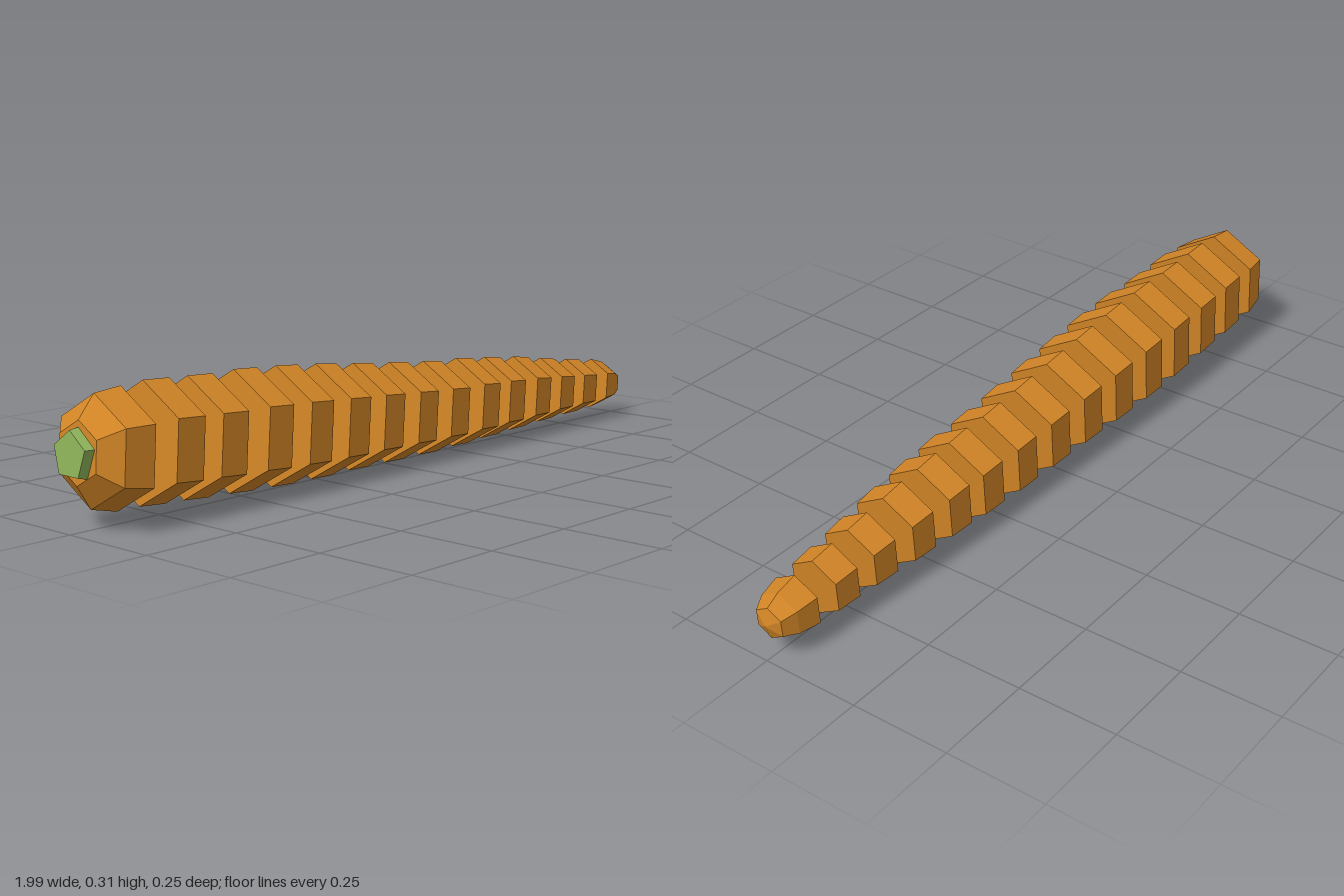
import * as THREE from 'three';

const TILT = -0.065;

// Solid faceted piece along x: profile is [offset along axis, radius], one corner pointing up
function piece(name, profile, sides, material, x, y) {
  const points = profile.map(([t, r]) => new THREE.Vector2(r, t));
  const geometry = new THREE.LatheGeometry(points, sides, -Math.PI / 2);
  geometry.rotateZ(-Math.PI / 2);
  const mesh = new THREE.Mesh(geometry, material);
  mesh.name = name;
  mesh.position.set(x, y, 0);
  mesh.rotation.z = TILT;
  return mesh;
}

export function createModel() {
  const group = new THREE.Group();
  group.name = 'slicedCarrot';
  const orange = new THREE.MeshStandardMaterial({ color: 0xd28526, flatShading: true });
  orange.name = 'carrot orange';
  const green = new THREE.MeshStandardMaterial({ color: 0x8fb35a, flatShading: true });
  green.name = 'stem green';

  // Slice centres and radii: x, y, radius (first and last rows belong to the end pieces)
  const rows = [
    [-0.86, 0.166, 0.139],
    [-0.76, 0.166, 0.142], [-0.63, 0.159, 0.143], [-0.49, 0.154, 0.146],
    [-0.355, 0.147, 0.145], [-0.22, 0.14, 0.14], [-0.088, 0.134, 0.133],
    [0.046, 0.127, 0.127], [0.178, 0.121, 0.121], [0.31, 0.119, 0.116],
    [0.43, 0.116, 0.108], [0.556, 0.112, 0.099], [0.68, 0.106, 0.087],
    [0.80, 0.1, 0.077],
    [0.89, 0.096, 0.071],
  ];
  for (let i = 1; i < rows.length - 1; i++) {
    const [x, y, r] = rows[i];
    const [xa, , ra] = rows[i - 1];
    const [xb, , rb] = rows[i + 1];
    const half = 0.0388 - 0.0004 * i;
    const d = ((rb - ra) / (xb - xa)) * half;
    group.add(piece('slice' + i, [[-half, 0], [-half, r - d], [half, r + d], [half, 0]], 6, orange, x, y));
  }

  // Rounded top piece
  group.add(piece('topEnd',
    [[-0.113, 0], [-0.113, 0.072], [-0.073, 0.127], [0.0, 0.139], [0.0, 0]], 6, orange, -0.86, 0.166));

  // Tapered tip
  group.add(piece('tip',
    [[0, 0], [0, 0.071], [0.056, 0.06], [0.092, 0.042], [0.106, 0]], 6, orange, 0.89, 0.097));

  // Stem stub
  group.add(piece('stem',
    [[-0.022, 0], [-0.022, 0.055], [0.01, 0.062], [0.01, 0]], 5, green, -0.974, 0.17));

  return group;
}
